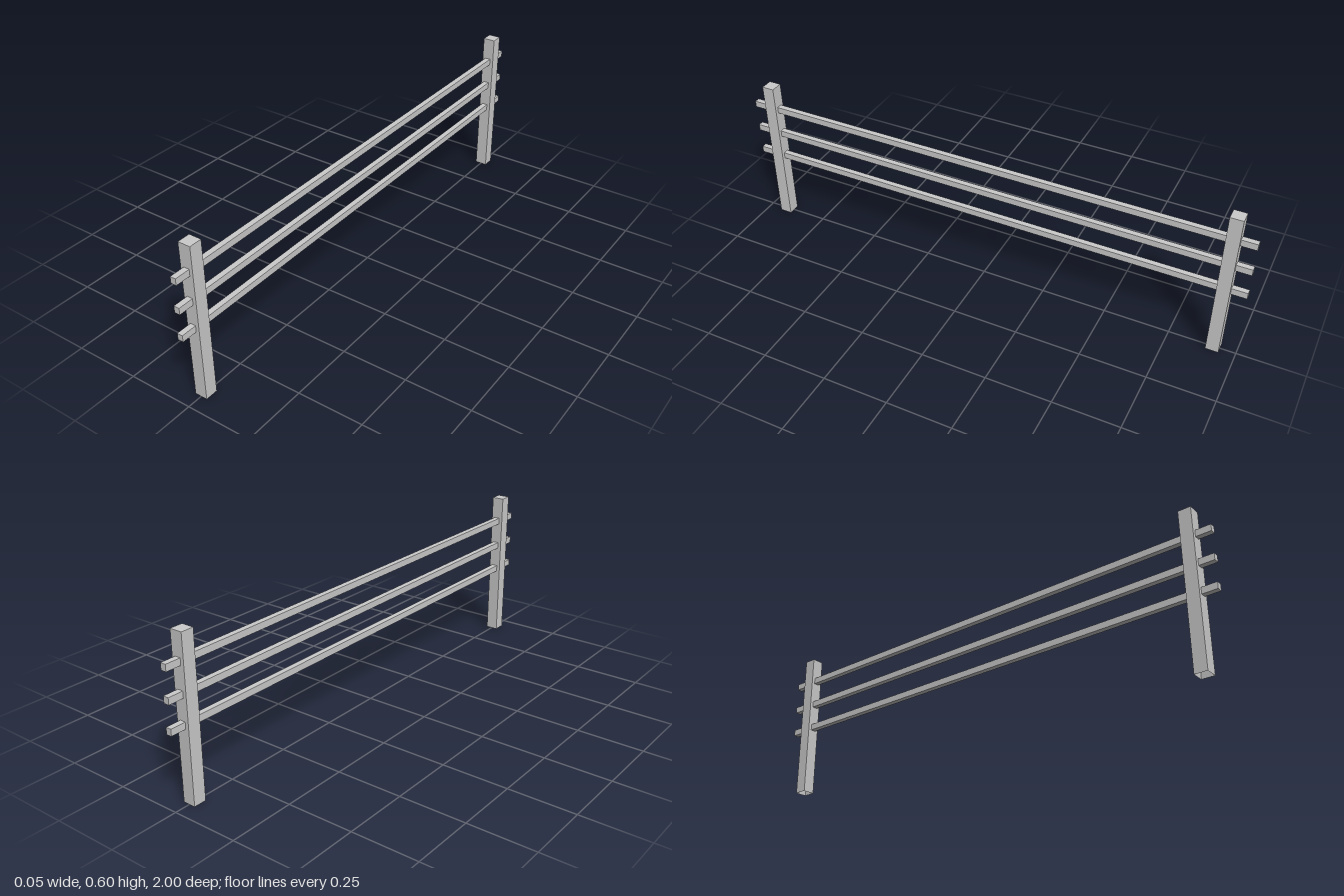
import * as THREE from 'three';

const POST = { size: 0.048, height: 0.597, z: 0.918 };
const RAIL = { width: 0.0215, height: 0.025, length: 2 };
const RAIL_HEIGHTS = [0.284, 0.389, 0.498];

// Square post, hollow underneath: a box without its bottom face
function postGeometry() {
  const geometry = new THREE.BoxGeometry(POST.size, POST.height, POST.size);
  const index = Array.from(geometry.index.array);
  const bottom = geometry.groups[3];
  index.splice(bottom.start, bottom.count);
  geometry.setIndex(index);
  geometry.clearGroups();
  return geometry;
}

export function createModel() {
  const fence = new THREE.Group();
  fence.name = 'fence';
  const railMaterial = new THREE.MeshStandardMaterial({ color: 0xcccccc });
  const postMaterial = new THREE.MeshStandardMaterial({ color: 0xcccccc, side: THREE.DoubleSide });

  // Posts near both ends
  const postShape = postGeometry();
  for (const [name, side] of [['frontPost', 1], ['backPost', -1]]) {
    const post = new THREE.Mesh(postShape, postMaterial);
    post.name = name;
    post.position.set(0, POST.height / 2, side * POST.z);
    fence.add(post);
  }

  // Three rails running through the posts
  const railShape = new THREE.BoxGeometry(RAIL.width, RAIL.height, RAIL.length);
  const railNames = ['lowerRail', 'middleRail', 'upperRail'];
  RAIL_HEIGHTS.forEach((y, i) => {
    const rail = new THREE.Mesh(railShape, railMaterial);
    rail.name = railNames[i];
    rail.position.y = y;
    fence.add(rail);
  });

  return fence;
}
